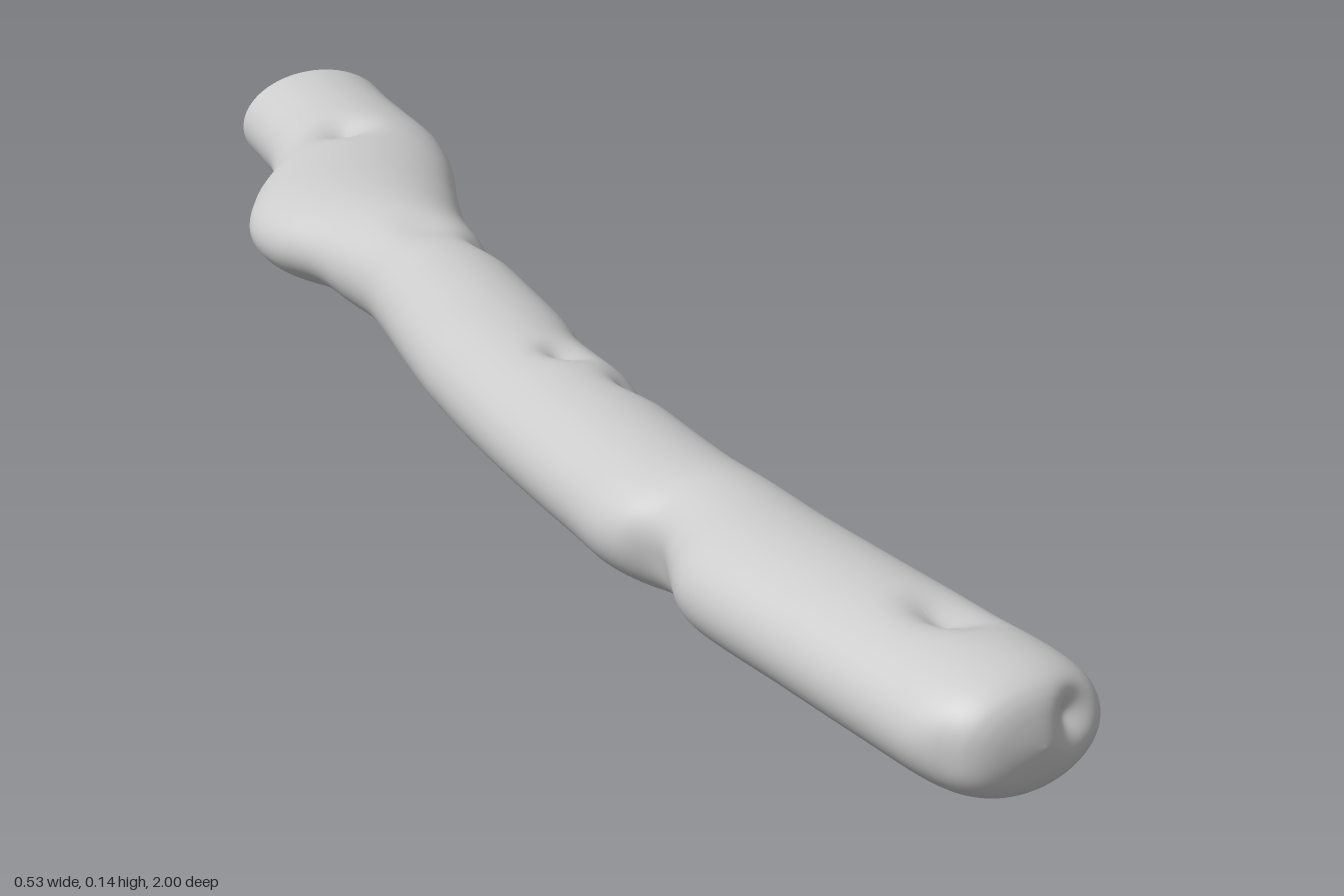
import * as THREE from 'three';

// Outline stations along the branch: z, left edge x, right edge x
const outline = [
  [-0.983, 0.063, 0.264], [-0.92, 0.05, 0.25], [-0.85, 0.033, 0.239], [-0.76, -0.01, 0.225],
  [-0.68, -0.08, 0.195], [-0.61, -0.124, 0.16], [-0.55, -0.131, 0.133], [-0.46, -0.112, 0.095],
  [-0.38, -0.106, 0.072], [-0.3, -0.124, 0.056], [-0.2, -0.153, 0.035], [-0.1, -0.18, 0.015],
  [-0.05, -0.19, 0.002], [0, -0.2, -0.013], [0.1, -0.217, -0.025], [0.2, -0.231, -0.04],
  [0.3, -0.243, -0.052], [0.37, -0.252, -0.058], [0.41, -0.248, -0.06], [0.45, -0.236, -0.062],
  [0.5, -0.245, -0.063], [0.55, -0.261, -0.063], [0.7, -0.263, -0.062], [0.9, -0.263, -0.058],
];
// Rounded front end: z, scale of the cross-section
const cap = [[0.925, 0.99], [0.945, 0.965], [0.962, 0.91], [0.976, 0.82], [0.985, 0.7],
  [0.991, 0.55], [0.995, 0.38], [0.998, 0.2]];
// Dents: x, y, z, radius, depth
const dents = [
  [0.08, 0.14, -0.76, 0.035, 0.022], [-0.02, 0.14, -0.37, 0.045, 0.008],
  [0.05, 0.11, -0.31, 0.04, 0.016], [-0.09, 0.14, 0.065, 0.026, 0.016],
  [-0.055, 0.11, 0.165, 0.032, 0.018], [-0.012, 0.055, 0, 0.04, 0.01],
  [-0.14, 0.14, 0.825, 0.034, 0.022], [-0.08, 0.03, 0.58, 0.04, 0.012],
  [-0.24, 0.06, 0.46, 0.04, 0.012], [-0.1, 0.015, -0.5, 0.05, 0.01],
  [-0.115, 0.09, 0.99, 0.022, 0.018], [-0.24, 0.07, 0.96, 0.03, 0.01],
];
const CY = 0.0715, RY = 0.069, SIDES = 72, STEPS = 260;

function branchRings() {
  const path = new THREE.CatmullRomCurve3(outline.map(([z, l, r]) => new THREE.Vector3(l, r, z)));
  const rings = [];
  for (let i = 0; i <= STEPS; i++) {
    const p = path.getPoint(i / STEPS);
    rings.push({ z: p.z, cx: (p.x + p.y) / 2, rx: (p.y - p.x) / 2, ry: RY });
  }
  const capPath = new THREE.CatmullRomCurve3(
    [[0.9, 1], ...cap, [1, 0.01]].map(([z, s]) => new THREE.Vector3(s, 0, z)));
  for (let i = 1; i <= 40; i++) {
    const p = capPath.getPoint(i / 40);
    rings.push({ z: p.z, cx: -0.1605, rx: 0.1025 * p.x, ry: RY * p.x });
  }
  return rings;
}

function branchGeometry() {
  const rings = branchRings(), pos = [], index = [];
  const v = new THREE.Vector3(), d = new THREE.Vector3(), inward = new THREE.Vector3();
  rings.forEach(({ z, cx, rx, ry }, i) => {
    // The cut at the back is square to the slanted branch
    const tilt = 0.18 * THREE.MathUtils.clamp((-0.4 - z) / 0.4, 0, 1);
    for (let j = 0; j < SIDES; j++) {
      const a = (j / SIDES) * Math.PI * 2;
      v.set(cx + rx * Math.cos(a), CY + ry * Math.sin(a), z + tilt * rx * Math.cos(a));
      const onCap = z > 0.9;
      inward.set(cx - v.x, CY - v.y, onCap ? 0.9 - z : 0).normalize();
      let push = 0;
      for (const [x, y, dz, r, depth] of dents) {
        const q = d.set(x, y, dz).distanceToSquared(v) / (r * r);
        push += depth * Math.exp(-q);
      }
      v.addScaledVector(inward, push);
      pos.push(v.x, v.y, v.z);
      if (i < rings.length - 1) {
        const k = (j + 1) % SIDES, A = i * SIDES, B = A + SIDES;
        index.push(A + j, A + k, B + j, A + k, B + k, B + j);
      }
    }
  });
  // Close the tip
  const last = (rings.length - 1) * SIDES, tip = pos.length / 3;
  pos.push(-0.1605, CY, 1);
  for (let j = 0; j < SIDES; j++) index.push(last + j, last + (j + 1) % SIDES, tip);
  const g = new THREE.BufferGeometry();
  g.setAttribute('position', new THREE.Float32BufferAttribute(pos, 3));
  g.setIndex(index);
  g.computeVertexNormals();
  return g;
}

export function createModel() {
  const group = new THREE.Group();
  group.name = 'branch';
  // Hollow limb, open at the back
  const limb = new THREE.Mesh(branchGeometry(),
    new THREE.MeshStandardMaterial({ color: 0xcccccc, side: THREE.DoubleSide }));
  limb.name = 'limb';
  group.add(limb);
  return group;
}
